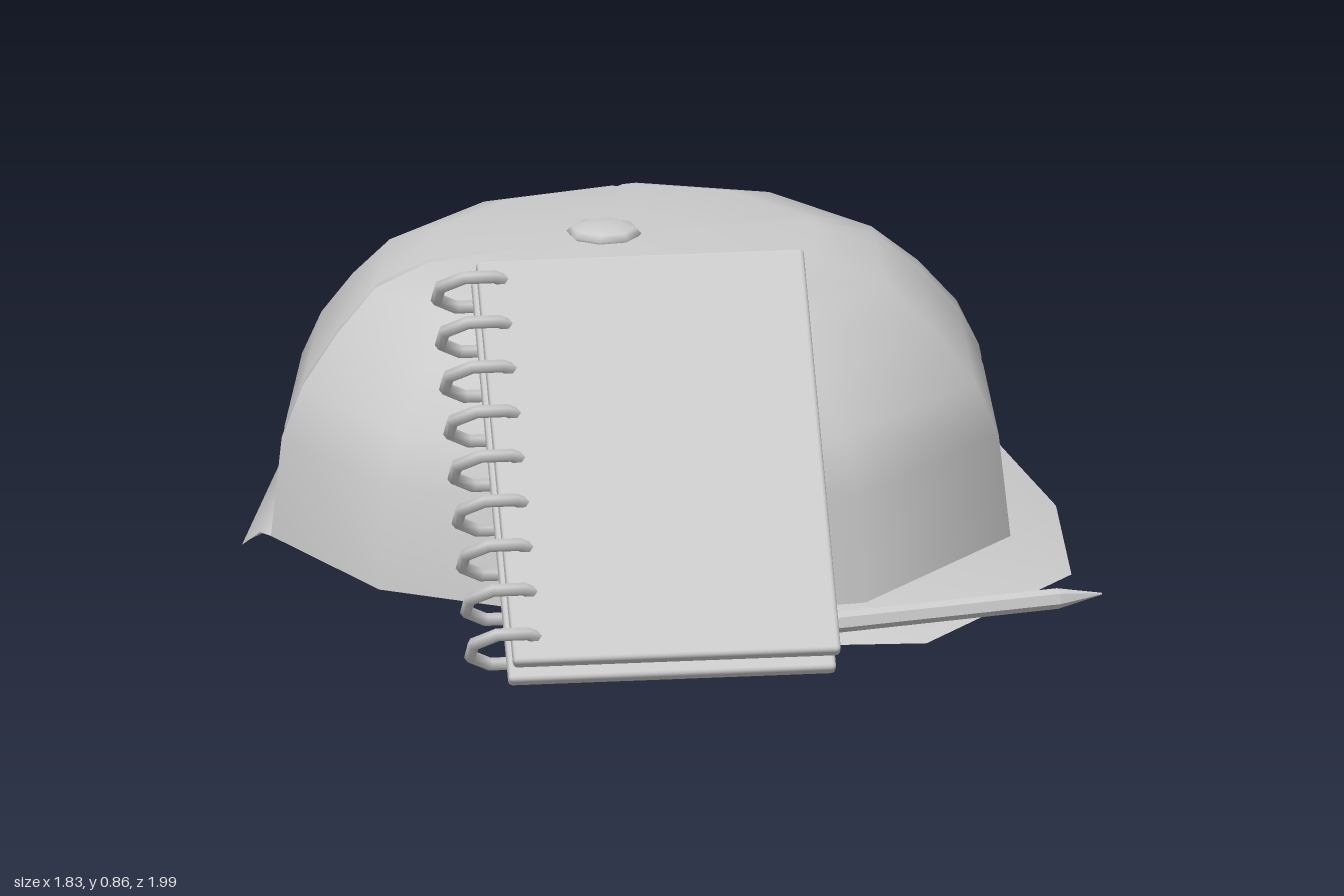
import * as THREE from 'three';
import { RoundedBoxGeometry } from 'three/addons/geometries/RoundedBoxGeometry.js';

const V = (x, y, z) => new THREE.Vector3(x, y, z);
const grey = new THREE.MeshStandardMaterial({ color: 0xcccccc });
const cloth = new THREE.MeshStandardMaterial({ color: 0xcccccc, side: THREE.DoubleSide });

function add(parent, name, geometry, material = grey) {
  const mesh = new THREE.Mesh(geometry, material);
  mesh.name = name;
  parent.add(mesh);
  return mesh;
}

// Smooth surface through rows of points; closed rows wrap around
function loft(rows, closed) {
  const n = rows[0].length, index = [];
  for (let r = 0; r < rows.length - 1; r++) {
    for (let i = 0; i < (closed ? n : n - 1); i++) {
      const a = r * n + i, b = r * n + (i + 1) % n;
      index.push(a, b, a + n, b, b + n, a + n);
    }
  }
  const g = new THREE.BufferGeometry().setFromPoints(rows.flat());
  g.setIndex(index);
  g.computeVertexNormals();
  return g;
}

// Ten-sided lower edge of the crown, counted from the left side backwards
const rim = [
  [0.91, 0.19, 0.02], [0.89, 0.21, -0.46], [0.63, 0.22, -0.79], [0.13, 0.24, -0.91],
  [-0.35, 0.23, -0.77], [-0.70, 0.16, -0.40], [-0.74, 0.145, 0.02], [-0.45, 0.12, 0.45],
  [0.06, 0.12, 0.67], [0.57, 0.14, 0.52],
].map(p => V(...p));

const rimAt = t => rim[Math.floor(t) % 10].clone().lerp(rim[(Math.floor(t) + 1) % 10], t % 1);

// Seams between the panels: place along the rim, and depth of the fold
const seams = [[2.1, 0.03], [4.9, 0.03], [7.17, 0.012], [9.83, 0.012]];

// Columns of the crown: the rim corners plus a narrow fold at each seam
const columns = rim.map((_, i) => [i, 0]);
for (const [t, depth] of seams) columns.push([t - 0.05, 0], [t, depth], [t + 0.05, 0]);
columns.sort((a, b) => a[0] - b[0]);

// Crown profile: spread from the middle, and height fraction
const profile = [[1, 0], [0.97, 0.37], [0.91, 0.56], [0.81, 0.74], [0.69, 0.9], [0.53, 0.97], [0.25, 0.985], [0.004, 1]];
const low = V(0.07, 0, -0.12), high = V(0.05, 0, -0.21);

function crownPoint([t, depth], [spread, h]) {
  const p = rimAt(t), c = low.clone().lerp(high, h), s = spread * (1 - depth);
  return V(c.x + (p.x - c.x) * s, p.y + (0.735 - p.y) * h, c.z + (p.z - c.z) * s);
}

const crownRows = rows => loft(rows.map(k => columns.map(c => crownPoint(c, k))), true);

function makeHat() {
  const hat = new THREE.Group();
  hat.name = 'hat';
  add(hat, 'crown', crownRows(profile), cloth);
  add(hat, 'hem', crownRows([[0.975, 0.005], [1, 0]]), cloth);

  // Front and back brims: position along the crown edge, then the outer point
  const brims = {
    frontBrim: [
      [10, 0.88, 0.16, 0.15], [9.6, 0.82, 0.125, 0.36], [9, 0.64, 0.07, 0.64],
      [8, 0.13, 0.045, 0.79], [7.4, -0.3, 0.075, 0.62], [7, -0.46, 0.1, 0.47],
    ],
    backBrim: [
      [2, 0.58, 0.23, -0.835], [2.5, 0.43, 0.13, -0.93], [3, 0.19, 0.04, -1.0],
      [4, -0.43, 0.005, -0.82], [4.6, -0.62, 0.08, -0.6], [5, -0.69, 0.155, -0.45],
    ],
  };
  for (const [name, pts] of Object.entries(brims)) {
    const outer = pts.map(([, x, y, z]) => V(x, y, z));
    const inner = pts.map(([t]) => rimAt(t));
    if (name === 'frontBrim') { outer.reverse(); inner.reverse(); }
    add(hat, name, loft([outer, inner], false), cloth);
  }

  // Button on top
  const button = add(hat, 'button', new THREE.SphereGeometry(0.08, 8, 6));
  button.scale.y = 0.29;
  button.position.set(0.05, 0.738, -0.21);
  return hat;
}

// Notebook: x across the page, y up the page, z out of the front cover
function makeNotebook() {
  const book = new THREE.Group();
  book.name = 'notebook';
  const w = 0.7, h = 0.93;
  const place = (name, geometry, z) => add(book, name, geometry).position.set(w / 2, h / 2, z);
  place('frontCover', new RoundedBoxGeometry(w, h, 0.034, 2, 0.01), -0.017);
  place('pages', new THREE.BoxGeometry(w - 0.08, h - 0.08, 0.07), -0.065);
  place('backCover', new RoundedBoxGeometry(w, h, 0.034, 2, 0.01), -0.113);

  // Spiral binding rings
  for (let i = 0; i < 9; i++) {
    const ring = add(book, 'ring', new THREE.TorusGeometry(0.085, 0.014, 6, 8));
    ring.rotation.set(Math.PI / 2, 0, Math.PI / 8);
    ring.position.set(0, 0.06 + i * 0.103, -0.065);
  }

  const across = V(0.6, 0, 0.355).normalize();
  const up = V(0.3, 0.72, -0.51).normalize();
  const out = across.clone().cross(up).normalize();
  up.crossVectors(out, across);
  book.quaternion.setFromRotationMatrix(new THREE.Matrix4().makeBasis(across, up, out));
  book.position.set(-0.87, 0.15, 0.645);
  return book;
}

// Six-sided pencil with a sharpened tip
function makePencil() {
  const pencil = new THREE.Group();
  pencil.name = 'pencil';
  const from = V(-0.19, 0.115, 0.7), to = V(0.5, 0.117, 0.92);
  const length = from.distanceTo(to);
  const wood = new THREE.MeshStandardMaterial({ color: 0xcccccc, flatShading: true });
  const piece = (name, r0, r1, start, end) =>
    add(pencil, name, new THREE.CylinderGeometry(r1, r0, end - start, 6), wood)
      .position.y = (start + end) / 2;
  piece('pencilEnd', 0.012, 0.022, 0, 0.04);
  piece('pencilBody', 0.022, 0.022, 0.04, length - 0.1);
  piece('pencilTip', 0.022, 0.002, length - 0.1, length);
  pencil.position.copy(from);
  pencil.quaternion.setFromUnitVectors(V(0, 1, 0), to.sub(from).normalize());
  return pencil;
}

export function createModel() {
  const model = new THREE.Group();
  model.name = 'hatWithNotebookAndPencil';
  model.add(makeHat(), makeNotebook(), makePencil());
  return model;
}
